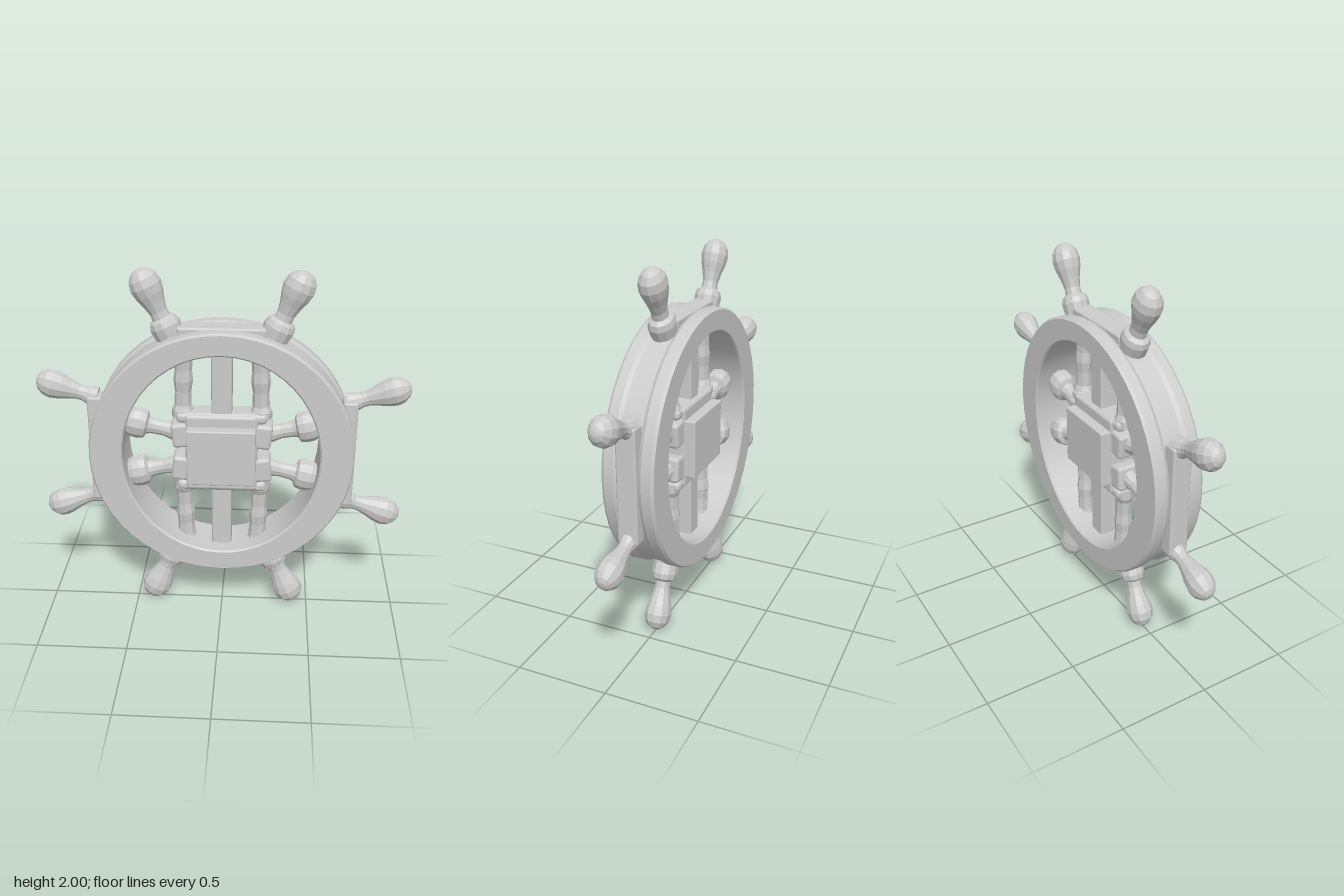
import * as THREE from 'three';
import { toCreasedNormals } from 'three/addons/utils/BufferGeometryUtils.js';
import { RoundedBoxGeometry } from 'three/addons/geometries/RoundedBoxGeometry.js';

const smooth = new THREE.MeshStandardMaterial({ color: 0xcccccc });
const faceted = new THREE.MeshStandardMaterial({ color: 0xcccccc, flatShading: true });
const UP = new THREE.Vector3(0, 1, 0);

// Turned part: a [radius, distance] profile running from one point towards another
function turned(name, profile, from, to, depth = 0.85, sides = 11) {
  const geo = new THREE.LatheGeometry(profile.map(([r, d]) => new THREE.Vector2(r, d)), sides);
  geo.scale(1, 1, depth);
  const mesh = new THREE.Mesh(geo, faceted);
  const start = new THREE.Vector3(...from, 0);
  const dir = new THREE.Vector3(...to, 0).sub(start).normalize();
  mesh.position.copy(start);
  mesh.quaternion.setFromUnitVectors(UP, dir);
  mesh.name = name;
  return mesh;
}

function block(name, w, h, d, x, y, angle = 0, radius = 0.012) {
  const mesh = new THREE.Mesh(new RoundedBoxGeometry(w, h, d, 2, radius), smooth);
  mesh.position.set(x, y, 0);
  mesh.rotation.z = angle;
  mesh.name = name;
  return mesh;
}

// Ring with an oval opening and a shallow groove around the outside
function rimGeometry() {
  // [0 = inner edge, 1 = outer edge, inset in units, z]
  const section = [
    [1, 0.01, 0.14], [1, 0, 0.125], [1, 0, 0.075], [1, 0.012, 0.055],
    [1, 0.012, -0.055], [1, 0, -0.075], [1, 0, -0.125], [1, 0.01, -0.14],
    [0, -0.008, -0.14], [0, 0, -0.132], [0, 0, 0.132], [0, -0.008, 0.14],
  ];
  const steps = 48, n = section.length, pos = [], index = [];
  for (let i = 0; i < steps; i++) {
    const a = (i / steps) * Math.PI * 2;
    for (const [outer, inset, z] of section) {
      const rx = (outer ? 0.712 : 0.53) - inset;
      const ry = (outer ? 0.708 : 0.585) - inset;
      pos.push(rx * Math.cos(a), 1.003 + ry * Math.sin(a), z);
    }
    for (let j = 0; j < n; j++) {
      const k = (j + 1) % n, next = ((i + 1) % steps) * n;
      const p = i * n + j, q = i * n + k, r = next + k, s = next + j;
      index.push(p, q, r, p, r, s);
    }
  }
  const geo = new THREE.BufferGeometry();
  geo.setAttribute('position', new THREE.Float32BufferAttribute(pos, 3));
  geo.setIndex(index);
  return toCreasedNormals(geo, 0.45);
}

export function createModel() {
  const model = new THREE.Group();
  model.name = 'shipWheel';

  const rim = new THREE.Mesh(rimGeometry(), smooth);
  rim.name = 'rim';
  model.add(rim);

  // Hub: raised square plate on both faces over a lower core
  model.add(block('hubPlate', 0.37, 0.325, 0.26, 0, 1, 0, 0.008));
  model.add(block('hubCore', 0.39, 0.45, 0.15, 0, 1.003, 0, 0.02));

  // Grip profiles, with a collar on the upright ones
  const upright = [[0, -0.04], [0.078, -0.04], [0.084, 0.02], [0.074, 0.05], [0.05, 0.065], [0.048, 0.1],
    [0.06, 0.15], [0.077, 0.2], [0.085, 0.245], [0.076, 0.288], [0.05, 0.32], [0.025, 0.333], [0, 0.337]];
  const sideways = [[0, -0.03], [0.062, -0.03], [0.052, 0.01], [0.042, 0.04], [0.042, 0.07], [0.055, 0.12],
    [0.072, 0.17], [0.08, 0.215], [0.072, 0.255], [0.048, 0.287], [0.025, 0.3], [0, 0.304]];
  // Baluster between hub and rim, flared at both ends
  const baluster = [[0.06, -0.02], [0.06, 0.02], [0.046, 0.05], [0.044, 0.13], [0.052, 0.19],
    [0.046, 0.25], [0.05, 0.32], [0.056, 0.35], [0.066, 0.39]];
  // Short arm ending in a knob against the rim
  const arm = [[0.058, -0.02], [0.052, 0.02], [0.042, 0.07], [0.045, 0.13], [0.052, 0.155], [0.08, 0.168],
    [0.088, 0.2], [0.086, 0.24], [0.074, 0.27], [0.04, 0.288], [0, 0.29]];

  for (const v of [1, -1]) {
    const y = (h) => 1 + v * h;

    // Middle post, hub shoulder and the straight strip between the upright handles
    model.add(block('middlePost', 0.11, 0.42, 0.1, 0, y(0.395)));
    model.add(block('hubShoulder', 0.49, 0.06, 0.13, 0, y(0.205), 0, 0.025));
    model.add(block('rimStrip', 0.46, 0.05, 0.11, 0, y(0.683)));
    // Straight strip between the handles of one side
    model.add(block('rimStrip', 0.08, 0.62, 0.11, v * 0.68, 1));

    for (const s of [1, -1]) {
      model.add(turned('uprightHandle', upright, [s * 0.285, y(0.687)], [s * 0.385, y(0.91)]));
      model.add(turned('sideHandle', sideways, [s * 0.7, y(0.3)], [s * 0.9, y(0.364)], 0.88));
      model.add(turned('baluster', baluster, [s * 0.21, y(0.215)], [s * 0.2, y(0.6)], 0.95, 8));
      model.add(block('armBlock', 0.1, 0.14, 0.14, s * 0.22, y(0.1), -s * v * 0.1, 0.02));
      model.add(turned('arm', arm, [s * 0.25, y(0.102)], [s * 0.47, y(0.152)], 0.85));
    }
  }
  return model;
}
